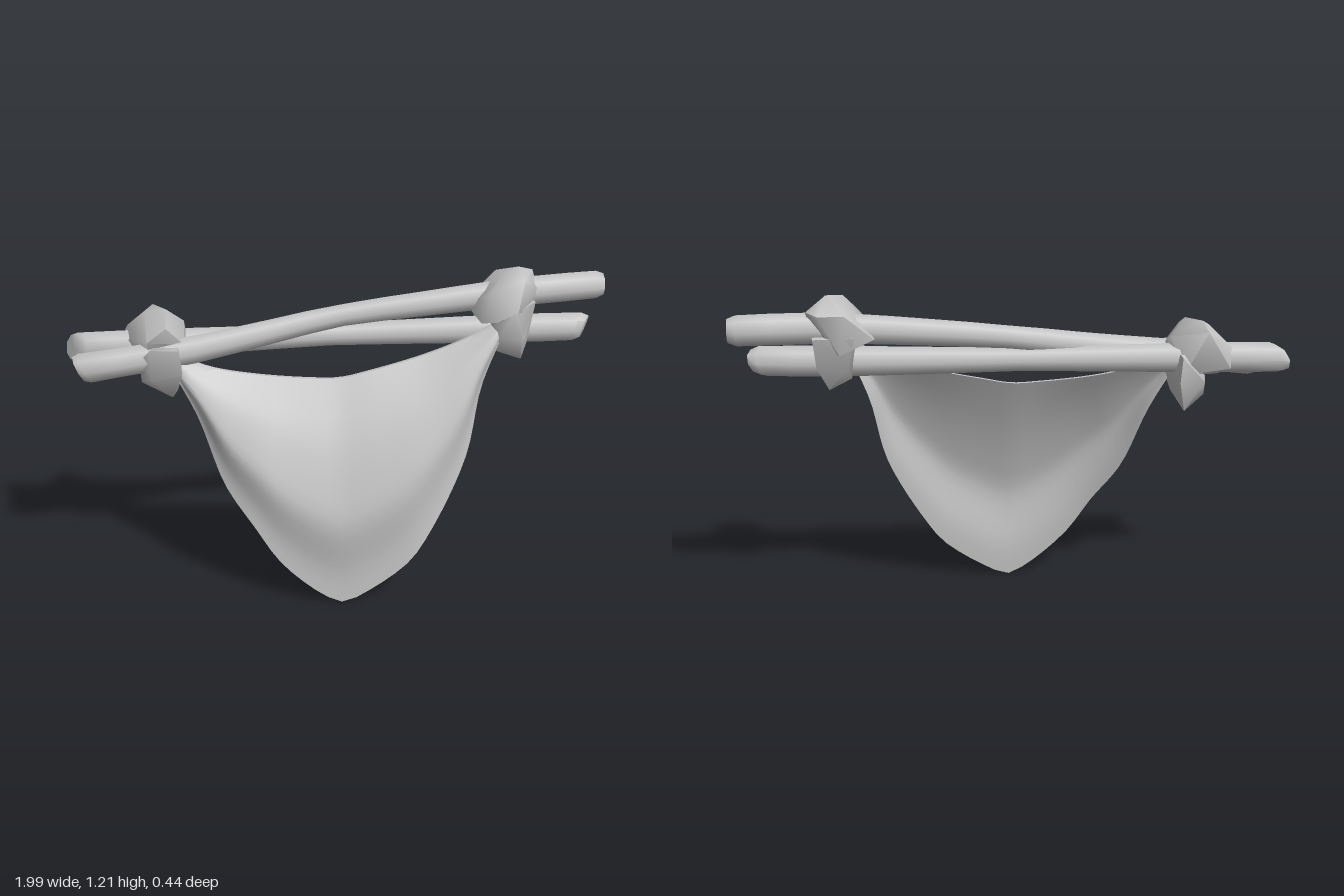
import * as THREE from 'three';
import { toCreasedNormals } from 'three/addons/utils/BufferGeometryUtils.js';
import { ConvexGeometry } from 'three/addons/geometries/ConvexGeometry.js';

const grey = new THREE.MeshStandardMaterial({ color: 0xc4c4c4 });
grey.name = 'plain grey';

const vectors = (list) => list.map((p) => new THREE.Vector3(...p));
const curve = (list) => new THREE.CatmullRomCurve3(vectors(list));

// Joins a grid of points (rows of equal length) into triangles
function gridIndex(rows, cols, index, start = 0) {
  for (let i = 0; i < rows - 1; i++) {
    for (let j = 0; j < cols - 1; j++) {
      const a = start + i * cols + j, b = a + 1, c = a + cols, d = c + 1;
      index.push(a, c, b, b, c, d);
    }
  }
}

function build(positions, index) {
  const g = new THREE.BufferGeometry();
  g.setAttribute('position', new THREE.Float32BufferAttribute(positions, 3));
  g.setIndex(index);
  return g;
}

function addMesh(parent, name, geometry, crease) {
  const mesh = new THREE.Mesh(toCreasedNormals(geometry, crease), grey);
  mesh.name = name;
  parent.add(mesh);
}

// Stick: rings along a path running in +x, thinner in the middle, with slanted cuts.
// A slant is [x shift per y, x shift per z].
function stickGeometry(path, startSlant, endSlant) {
  const sides = 8, steps = 14, positions = [], index = [];
  const line = curve(path);
  const rings = [[0, 0], [0, 0.85], [0.012, 1]];
  for (let i = 1; i < steps; i++) rings.push([i / steps, 1]);
  rings.push([0.985, 0.97], [1, 0.75], [1, 0]);
  for (const [t, scale] of rings) {
    const p = line.getPointAt(t);
    const radius = (0.043 + 0.013 * Math.min(1, 1.5 * Math.abs(2 * t - 1))) * scale;
    const atStart = Math.max(0, 1 - t * 12), atEnd = Math.max(0, 1 - (1 - t) * 12);
    const slantY = startSlant[0] * atStart + endSlant[0] * atEnd;
    const slantZ = startSlant[1] * atStart + endSlant[1] * atEnd;
    for (let j = 0; j <= sides; j++) {
      const a = (-j / sides) * Math.PI * 2;
      const y = Math.cos(a) * radius, z = Math.sin(a) * radius;
      positions.push(p.x + y * slantY + z * slantZ, p.y + y, p.z + z);
    }
  }
  gridIndex(rings.length, sides + 1, index);
  return build(positions, index);
}

// Cloth: front and back sheets between a sagging top edge and a deep hem
function clothGeometry() {
  const top = curve([[-0.6, 0.94, -0.02], [-0.46, 0.89, -0.005], [-0.3, 0.86, 0], [-0.1, 0.842, 0.008],
    [0, 0.84, 0.008], [0.1, 0.86, 0.005], [0.3, 0.91, -0.01], [0.46, 0.97, -0.015], [0.6, 1.04, -0.03]]);
  const hem = curve([[-0.6, 0.88, 0], [-0.52, 0.72, 0.035], [-0.43, 0.47, 0.1], [-0.33, 0.32, 0.15],
    [-0.23, 0.17, 0.175], [-0.07, 0.03, 0.188], [0, 0, 0.188], [0.06, 0.025, 0.188], [0.24, 0.15, 0.175],
    [0.32, 0.26, 0.155], [0.46, 0.54, 0.08], [0.52, 0.8, 0.015], [0.59, 0.98, -0.01]]);
  // how far the sheet swells forward from the top edge to the hem, with a fold above the hem
  const swell = new THREE.SplineCurve([[0, 0], [0.15, 0.04], [0.3, 0.07], [0.5, 0.09], [0.62, 0.088],
    [0.75, 0.053], [0.87, 0.02], [1, 0]].map((p) => new THREE.Vector2(...p)));
  const cols = 41, rows = 15;
  const positions = [], index = [];
  const point = (u, s, side) => {
    const { x: v, y: depth } = swell.getPoint(s);
    const p = top.getPointAt(u).lerp(hem.getPointAt(u), v);
    const bulge = depth * Math.pow(Math.max(0, Math.sin(Math.PI * u)), 0.6);
    const half = 0.007 + 0.01 * Math.min(1, v * 4);
    positions.push(p.x, p.y, p.z + bulge + side * half);
  };
  for (const side of [1, -1]) {
    const start = positions.length / 3;
    for (let i = 0; i < rows; i++) {
      for (let j = 0; j < cols; j++) point(side > 0 ? j / (cols - 1) : 1 - j / (cols - 1), i / (rows - 1), side);
    }
    gridIndex(rows, cols, index, start);
  }
  // strips closing the top edge and the hem
  for (const [s, first, second] of [[0, -1, 1], [1, 1, -1]]) {
    const start = positions.length / 3;
    for (const side of [first, second]) for (let j = 0; j < cols; j++) point(j / (cols - 1), s, side);
    gridIndex(2, cols, index, start);
  }
  return build(positions, index);
}

// Knots: two overlapping folded lumps each
const rightKnot = {
  upperFold: [[-0.79, 0.97, -0.11], [-0.78, 0.91, -0.14], [-0.77, 0.92, -0.18], [-0.77, 1, -0.17],
    [-0.74, 0.98, -0.05], [-0.7, 1.07, -0.12], [-0.67, 1.09, -0.14], [-0.62, 1.09, -0.08],
    [-0.68, 1.06, -0.2], [-0.56, 1.03, -0.12], [-0.55, 0.97, -0.1], [-0.56, 0.98, -0.01],
    [-0.62, 1.05, 0.01], [-0.69, 1, 0.02], [-0.74, 0.88, -0.1], [-0.6, 0.9, -0.18], [-0.68, 0.9, -0.01]],
  lowerWrap: [[-0.68, 0.98, 0.04], [-0.58, 0.98, 0.055], [-0.72, 0.93, 0.02], [-0.72, 0.83, -0.03],
    [-0.69, 0.81, -0.12], [-0.61, 0.77, -0.02], [-0.61, 0.76, -0.16], [-0.59, 0.8, -0.02],
    [-0.57, 0.88, 0.045], [-0.68, 0.87, 0.045], [-0.58, 0.88, -0.21], [-0.67, 0.88, -0.2],
    [-0.59, 0.97, -0.2], [-0.57, 0.93, -0.1]],
};
const leftKnot = {
  upperFold: [[0.49, 1.05, -0.08], [0.5, 1.07, -0.19], [0.51, 1.1, -0.06], [0.55, 1.14, -0.02],
    [0.6, 1.2, -0.06], [0.66, 1.21, -0.1], [0.73, 1.17, -0.18], [0.73, 1.13, -0.09],
    [0.67, 1.18, -0.02], [0.69, 1.16, -0.215], [0.6, 1.16, -0.215], [0.64, 1.08, 0.035],
    [0.57, 1.04, 0.02], [0.52, 1.02, -0.03], [0.71, 1.05, -0.06], [0.62, 1.02, -0.21]],
  lowerWrap: [[0.63, 1.08, 0.035], [0.72, 1.09, -0.05], [0.58, 0.98, 0.02], [0.57, 0.92, -0.01],
    [0.67, 0.88, -0.02], [0.66, 0.88, -0.14], [0.58, 0.92, -0.14], [0.69, 0.94, -0.03],
    [0.66, 0.98, 0.03], [0.7, 0.97, -0.18], [0.59, 0.97, -0.19], [0.71, 1.08, -0.21],
    [0.57, 1.08, -0.21], [0.55, 1.05, -0.02]],
};

function addKnot(parent, name, parts) {
  const knot = new THREE.Group();
  knot.name = name;
  for (const [part, points] of Object.entries(parts)) {
    addMesh(knot, part, new ConvexGeometry(vectors(points)), 1.1);
  }
  parent.add(knot);
}

export function createModel() {
  const model = new THREE.Group();
  model.name = 'clothHungFromSticks';

  // Two crossing sticks
  addMesh(model, 'upperStick', stickGeometry([[-0.935, 0.9, -0.005], [-0.55, 0.947, -0.03], [-0.25, 0.995, -0.07],
    [0, 1.038, -0.1], [0.3, 1.07, -0.112], [0.65, 1.1, -0.13], [0.995, 1.11, -0.167]], [-0.5, 0], [0, 0]), 0.95);
  addMesh(model, 'lowerStick', stickGeometry([[-0.965, 0.94, -0.118], [-0.55, 0.95, -0.112], [0, 0.962, -0.112],
    [0.5, 0.97, -0.1], [0.915, 0.978, -0.08]], [0.3, 0.6], [0.3, -0.5]), 0.95);

  // Knots tying the cloth to the sticks
  addKnot(model, 'rightKnot', rightKnot);
  addKnot(model, 'leftKnot', leftKnot);

  addMesh(model, 'hangingCloth', clothGeometry(), 0.8);
  return model;
}
